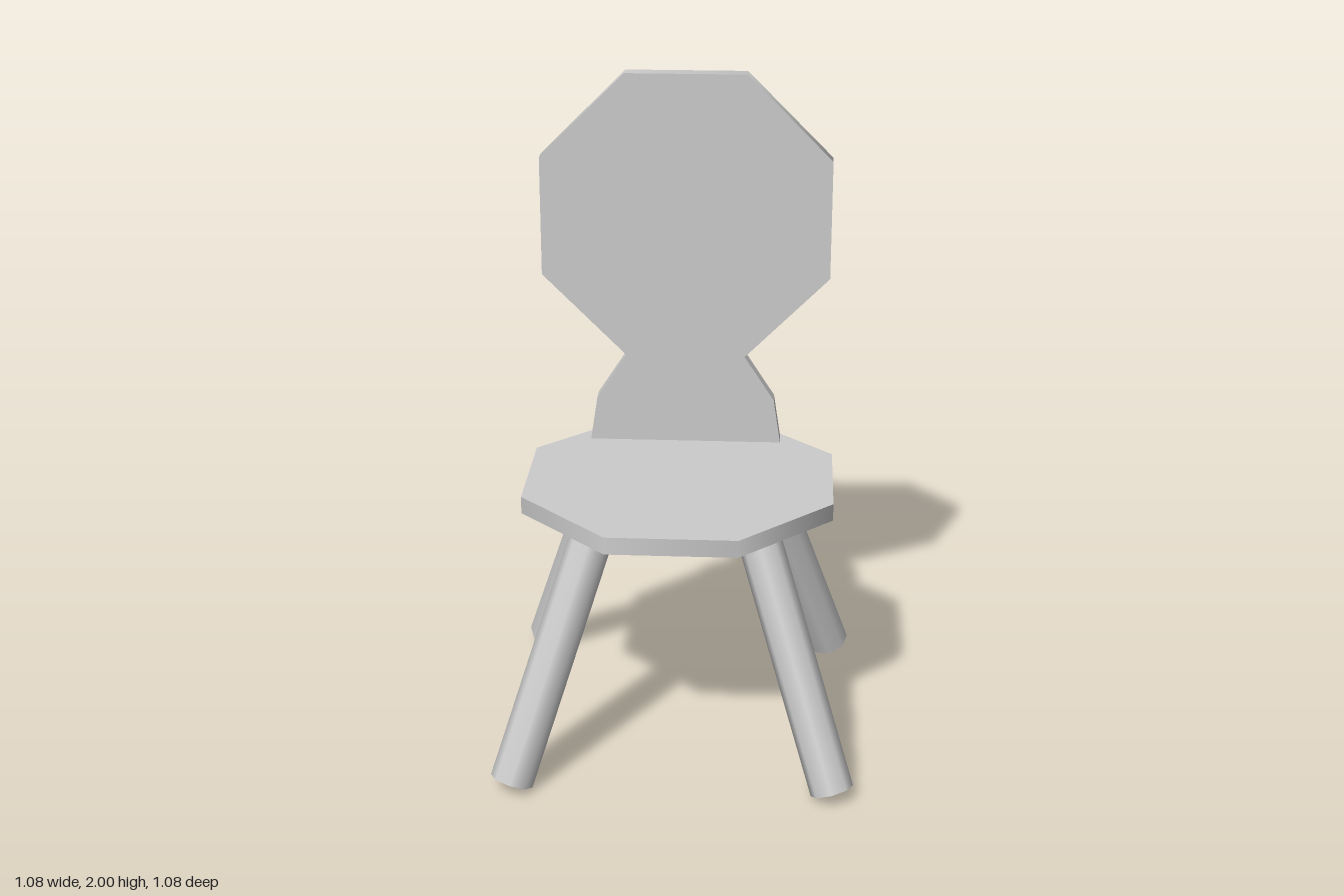
import * as THREE from 'three';

const THICK = 0.053;
const grey = new THREE.MeshStandardMaterial({ color: 0xcccccc });
const greyOpen = new THREE.MeshStandardMaterial({ color: 0xcccccc, side: THREE.DoubleSide });

function mesh(name, geometry, material = grey) {
  const m = new THREE.Mesh(geometry, material);
  m.name = name;
  return m;
}

// Octagonal board lying flat, with its flats facing the axes
function octagon(halfWidth) {
  const r = halfWidth / Math.cos(Math.PI / 8);
  return new THREE.CylinderGeometry(r, r, THICK, 8, 1, false, Math.PI / 8);
}

// Hollow eight-sided tube leaning outward along a diagonal
function leg(index) {
  const foot = new THREE.Vector3(0, 0.028, 0.674);
  const top = new THREE.Vector3(0, 0.8, 0.32);
  const axis = top.clone().sub(foot);
  const tube = mesh('legTube', new THREE.CylinderGeometry(0.065, 0.065, axis.length(), 8, 1, true), greyOpen);
  tube.position.copy(foot).add(top).multiplyScalar(0.5);
  tube.rotation.x = Math.atan2(axis.z, axis.y);
  const group = new THREE.Group();
  group.name = ['frontLeftLeg', 'backLeftLeg', 'backRightLeg', 'frontRightLeg'][index];
  group.rotation.y = Math.PI / 4 + index * Math.PI / 2;
  group.add(tube);
  return group;
}

export function createModel() {
  const chair = new THREE.Group();
  chair.name = 'chair';

  // Seat
  const seat = mesh('seat', octagon(0.463));
  seat.position.y = 0.802;
  chair.add(seat);

  // Splayed legs
  for (let i = 0; i < 4; i++) chair.add(leg(i));

  // Upright octagonal backrest
  const backrest = mesh('backrest', octagon(0.444).rotateX(Math.PI / 2));
  backrest.position.set(0, 1.556, -0.306);
  chair.add(backrest);

  // Flared neck joining the backrest to the seat
  const half = [[0.3, 0.828], [0.278, 0.97], [0.185, 1.113]];
  const outline = [...half, ...half.map(([x, y]) => [-x, y]).reverse()];
  const shape = new THREE.Shape(outline.map(([x, y]) => new THREE.Vector2(x, y)));
  const neck = mesh('backrestNeck', new THREE.ExtrudeGeometry(shape, { depth: THICK, bevelEnabled: false }));
  neck.position.z = -0.306 - THICK / 2;
  chair.add(neck);

  return chair;
}
